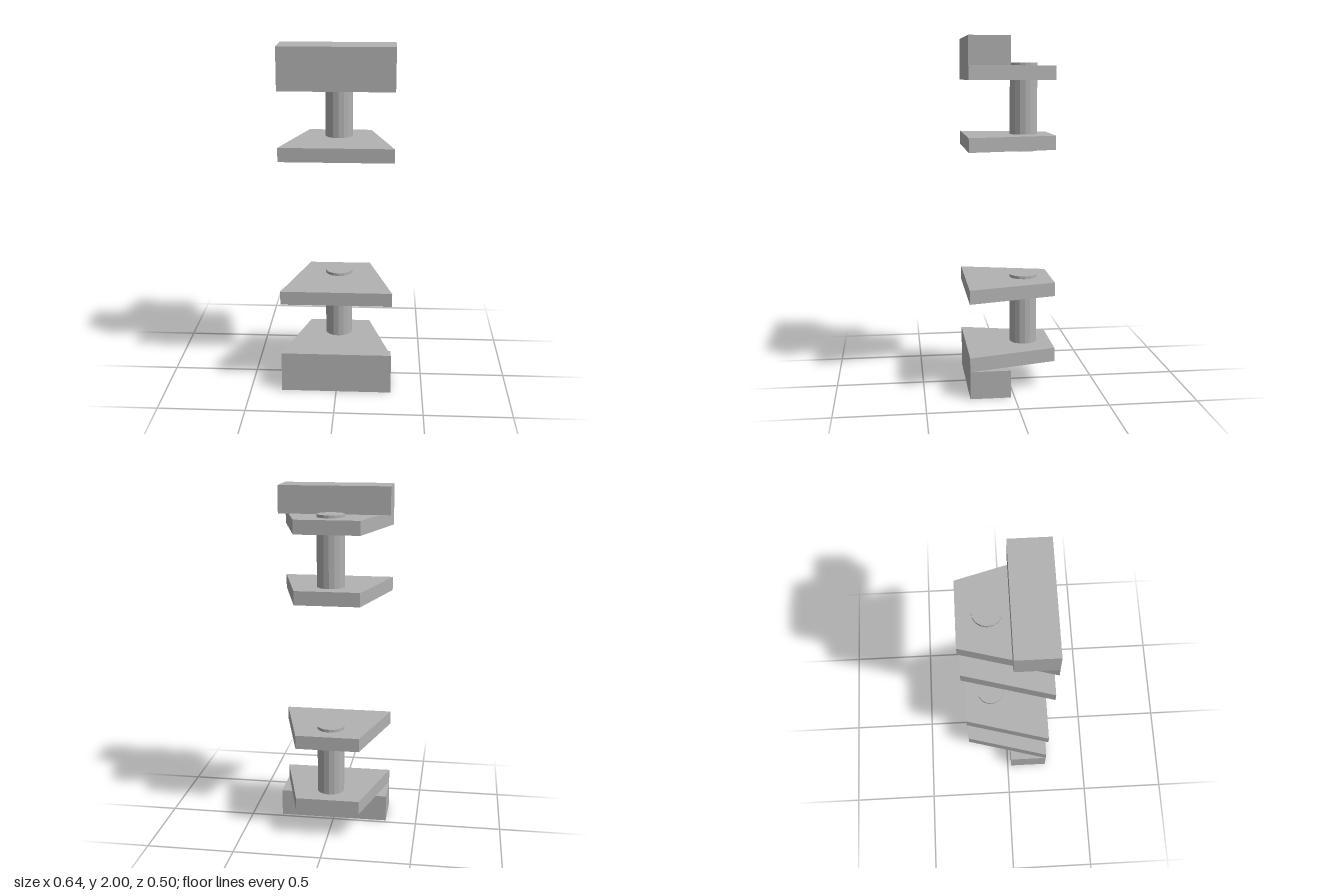
import * as THREE from 'three';

export function createModel() {
  const model = new THREE.Group();
  model.name = 'hingeBrackets';
  const metal = new THREE.MeshStandardMaterial({ color: 0xb2b2b2, flatShading: true });
  metal.name = 'plain grey';

  const HALF = 0.249; // half depth of the plates
  const FRONT = 0.318, BACK = 0.182; // half widths of the plates

  // Tapered plate, centred on its own thickness
  const thick = 0.079;
  const outline = new THREE.Shape([
    new THREE.Vector2(-FRONT, HALF),
    new THREE.Vector2(-BACK, -HALF),
    new THREE.Vector2(BACK, -HALF),
    new THREE.Vector2(FRONT, HALF),
  ]);
  const plateGeo = new THREE.ExtrudeGeometry(outline, { depth: thick, bevelEnabled: false });
  plateGeo.rotateX(Math.PI / 2).translate(0, thick / 2, 0);

  const pinGeo = new THREE.CylinderGeometry(0.079, 0.079, 0.497, 16);
  const blockGeo = new THREE.BoxGeometry(FRONT * 2, 0.157, 0.227);

  const add = (parent, geo, name, y, z = 0) => {
    const mesh = new THREE.Mesh(geo, metal);
    mesh.name = name;
    mesh.position.set(0, y, z);
    parent.add(mesh);
  };

  // Two brackets mirrored about mid height (y = 1)
  for (const [name, side] of [['upperBracket', 1], ['lowerBracket', -1]]) {
    const bracket = new THREE.Group();
    bracket.name = name;
    const at = (d) => 1 + side * d;
    add(bracket, blockGeo, 'mountingBlock', at(0.9215), HALF - 0.1135);
    add(bracket, plateGeo, 'outerPlate', at(0.8035));
    add(bracket, plateGeo, 'innerPlate', at(0.418));
    add(bracket, pinGeo, 'pin', at(0.6105), -0.0915);
    model.add(bracket);
  }
  return model;
}
